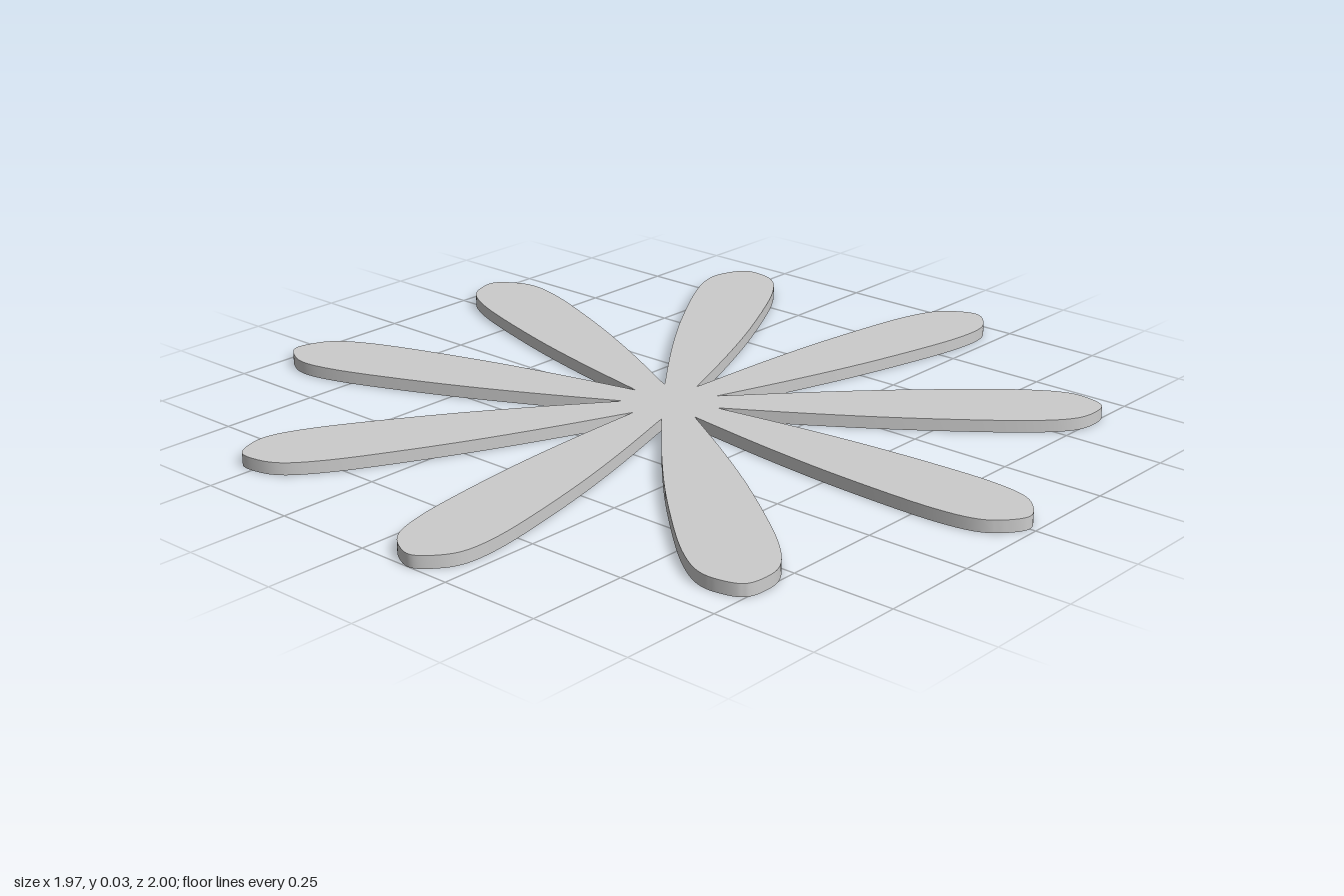
import * as THREE from 'three';
import { toCreasedNormals } from 'three/addons/utils/BufferGeometryUtils.js';

const PETALS = 9;
const THICKNESS = 0.03;
const CENTER_X = -0.03;

// Half outline of one petal: distance from the hub, half width
const HALF = [
  [0.108, 0.039], [0.32, 0.069], [0.53, 0.091], [0.75, 0.102],
  [0.87, 0.099], [0.945, 0.083], [0.99, 0.048],
];

// Smooth outline of one petal pointing along +x, running counter-clockwise
function petalOutline() {
  const pts = [
    ...HALF.map(([r, w]) => new THREE.Vector2(r, -w)),
    new THREE.Vector2(1.015, 0),
    ...HALF.map(([r, w]) => new THREE.Vector2(r, w)).reverse(),
  ];
  return new THREE.SplineCurve(pts).getPoints(84);
}

export function createModel() {
  const group = new THREE.Group();
  group.name = 'flower';

  // All petals joined at the hub in one closed outline
  const outline = [];
  const petal = petalOutline();
  const origin = new THREE.Vector2();
  for (let i = 0; i < PETALS; i++) {
    const angle = (i / PETALS) * Math.PI * 2;
    // The last point coincides with the start of the next petal
    for (const p of petal.slice(0, -1)) outline.push(p.clone().rotateAround(origin, angle));
  }

  // Thin flat plate, laid down on the floor
  const plate = new THREE.ExtrudeGeometry(new THREE.Shape(outline), {
    depth: THICKNESS, bevelEnabled: false, steps: 1,
  });
  plate.rotateX(-Math.PI / 2);
  plate.translate(CENTER_X, 0, 0);

  const mesh = new THREE.Mesh(
    toCreasedNormals(plate, 0.6),
    new THREE.MeshStandardMaterial({ color: 0xcccccc })
  );
  mesh.name = 'petals';
  group.add(mesh);
  return group;
}
